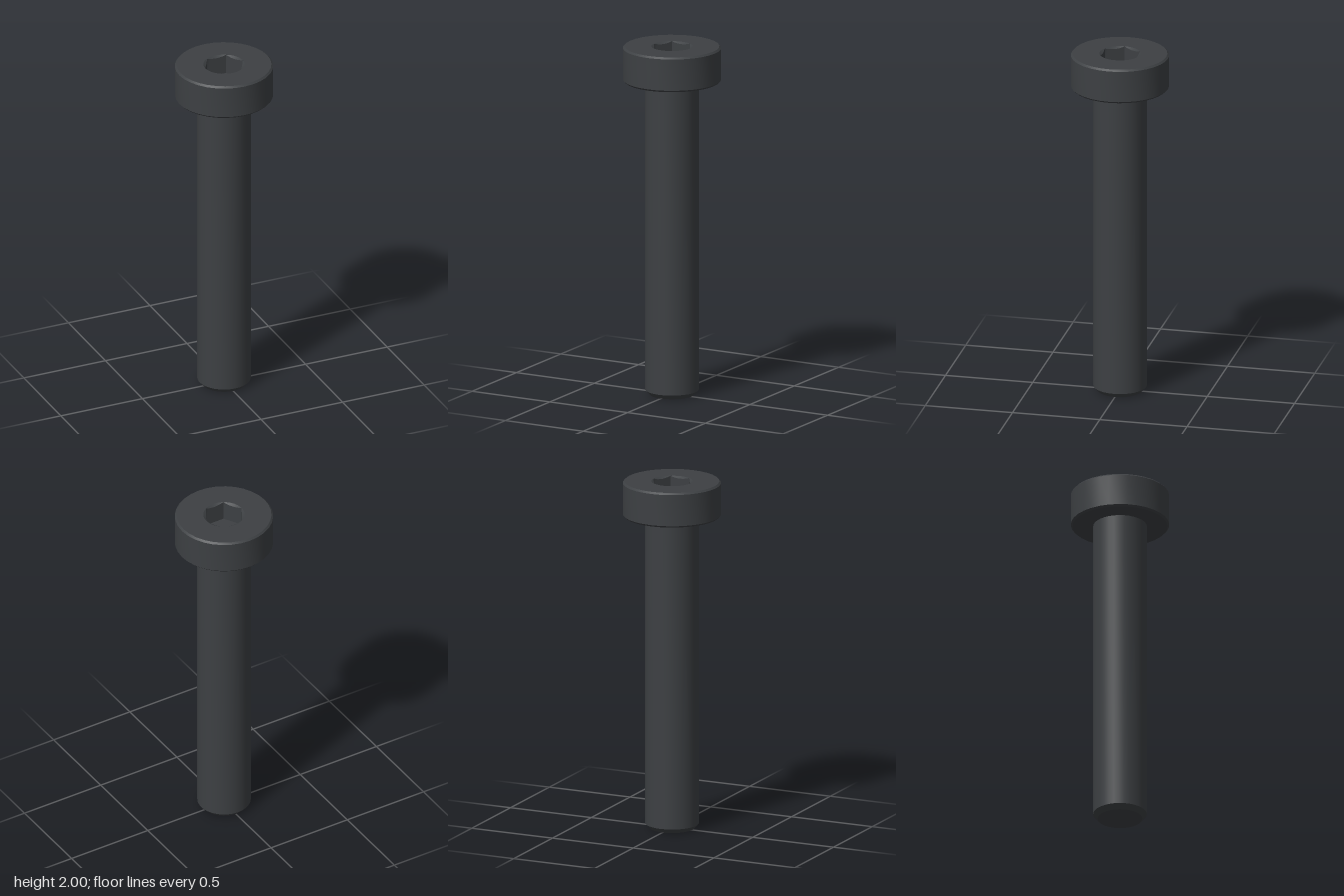
import * as THREE from 'three';
import { toCreasedNormals } from 'three/addons/utils/BufferGeometryUtils.js';

const SIDES = 32;          // facets around head and shank
const HEAD_RIM = 0.265;    // head radius inside its chamfer
const SOCKET_R = 0.1155;   // hex corner radius and countersink radius
const SOCKET_SIDES = 48;   // multiple of six, so the hex corners are exact
const TOP = 2;

const material = new THREE.MeshStandardMaterial({ color: 0x3d4043 });

function addPart(group, name, geometry) {
  const mesh = new THREE.Mesh(toCreasedNormals(geometry, Math.PI / 6), material);
  mesh.name = name;
  group.add(mesh);
}

function lathe(profile) {
  return new THREE.LatheGeometry(profile.map(([r, y]) => new THREE.Vector2(r, y)), SIDES);
}

function circlePoints(radius, count) {
  return Array.from({ length: count }, (_, i) => {
    const a = (i / count) * Math.PI * 2;
    return new THREE.Vector2(Math.cos(a) * radius, Math.sin(a) * radius);
  });
}

// Countersunk hexagonal recess: rim circle, curved hex edge, straight walls, flat floor
function socketGeometry(depth, slope) {
  const positions = [];
  const index = [];
  const n = SOCKET_SIDES;
  const apothem = SOCKET_R * Math.cos(Math.PI / 6);
  for (let ring = 0; ring < 3; ring++) {
    for (let i = 0; i < n; i++) {
      const a = (i / n) * Math.PI * 2;
      const fromFlat = (a % (Math.PI / 3)) - Math.PI / 6;
      const hexR = Math.min(SOCKET_R, apothem / Math.cos(fromFlat));
      const r = ring === 0 ? SOCKET_R : hexR;
      const y = [TOP, TOP - 0.001 - (SOCKET_R - hexR) * slope, TOP - depth][ring];
      positions.push(Math.cos(a) * r, y, Math.sin(a) * r);
    }
  }
  positions.push(0, TOP - depth, 0);
  for (let i = 0; i < n; i++) {
    const j = (i + 1) % n;
    for (let ring = 0; ring < 2; ring++) {
      const u = ring * n, l = u + n;
      index.push(u + i, l + i, u + j, u + j, l + i, l + j);
    }
    index.push(3 * n, 2 * n + j, 2 * n + i);
  }
  const geometry = new THREE.BufferGeometry();
  geometry.setAttribute('position', new THREE.Float32BufferAttribute(positions, 3));
  geometry.setIndex(index);
  geometry.computeVertexNormals();
  return geometry;
}

export function createModel() {
  const bolt = new THREE.Group();
  bolt.name = 'socketHeadBolt';

  // Plain shank with a chamfered tip
  addPart(bolt, 'shank', lathe([[0, 0], [0.125, 0], [0.15, 0.027], [0.15, 1.805]]));

  // Head underside and wall, chamfered on both edges
  addPart(bolt, 'head', lathe([
    [0.15, 1.8], [HEAD_RIM, 1.8], [0.275, 1.81], [0.275, 1.99], [HEAD_RIM, TOP],
  ]));

  // Flat top face around the socket
  const face = new THREE.Shape(circlePoints(HEAD_RIM, SIDES));
  face.holes.push(new THREE.Path(circlePoints(SOCKET_R, SOCKET_SIDES)));
  addPart(bolt, 'headTop', new THREE.ShapeGeometry(face).rotateX(-Math.PI / 2).translate(0, TOP, 0));

  addPart(bolt, 'hexSocket', socketGeometry(0.115, 0.6));

  return bolt;
}
